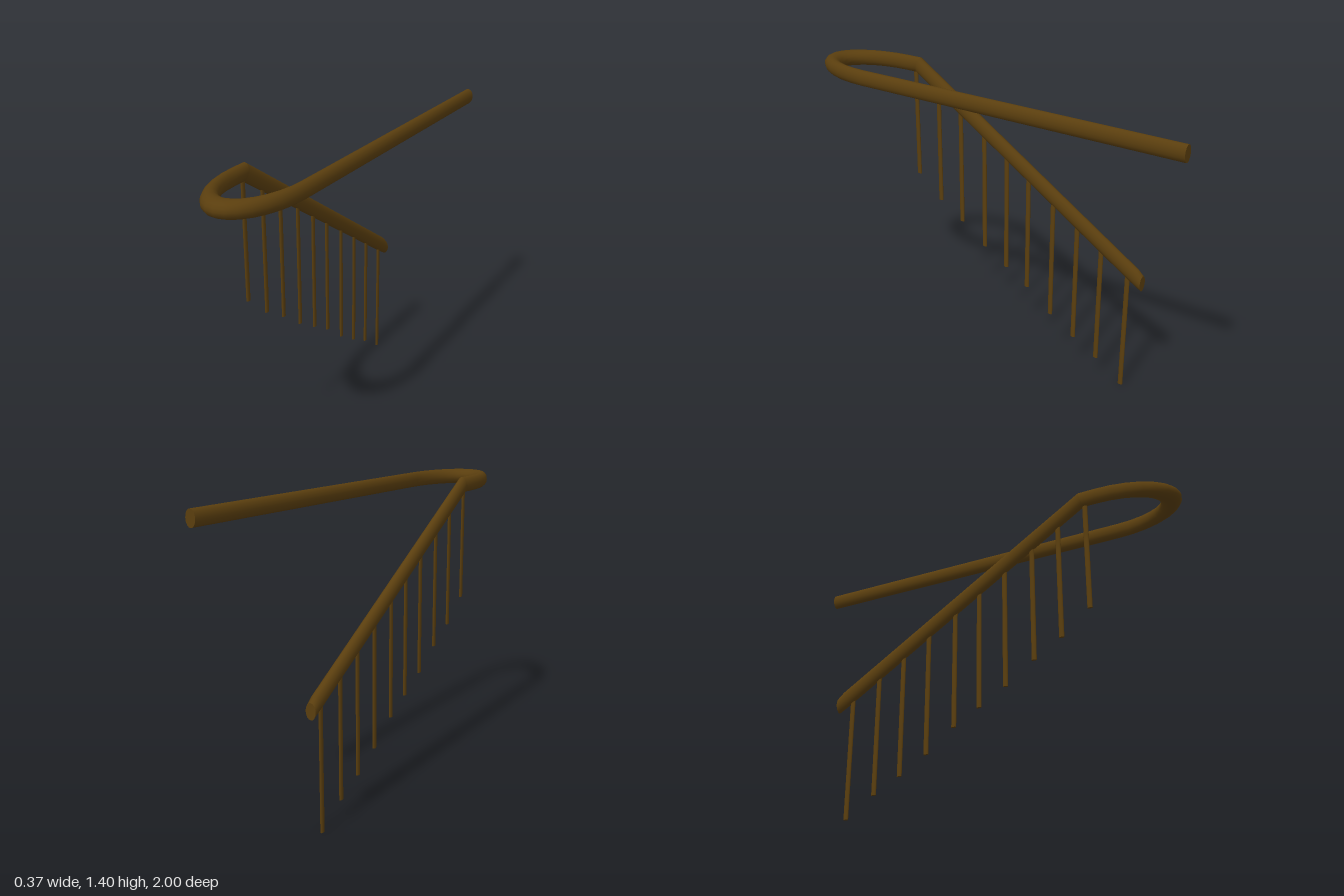
import * as THREE from 'three';

const SIDES = 16;
const RAIL_Y = 1.3675, HALF_X = 0.161, BEND_Z = 0.64, BEND_LEN = 0.31;
const R = { x: 0.0255, y: 0.0375, z: 0.05 };
const SLOPE = Math.atan(0.626);
const CORNER_Z = 0.57, END_Z = -0.7;
const V = (x, y, z) => new THREE.Vector3(x, y, z);

// One cross-section: centre, outward half-axis and upward half-axis
const ring = (center, side, up) => ({ center, side, up });
const point = (r) => ring(r.center, V(0, 0, 0), V(0, 0, 0));

// Skin a run of cross-sections
function skin(rings) {
  const pos = [], index = [];
  rings.forEach(({ center, side, up }, i) => {
    for (let j = 0; j < SIDES; j++) {
      const a = (j / SIDES) * Math.PI * 2;
      const p = center.clone().addScaledVector(side, Math.cos(a)).addScaledVector(up, Math.sin(a));
      pos.push(p.x, p.y, p.z);
      if (i === rings.length - 1) continue;
      const k = (j + 1) % SIDES, A = i * SIDES + j, B = i * SIDES + k;
      index.push(A, B, A + SIDES, B, B + SIDES, A + SIDES);
    }
  });
  const g = new THREE.BufferGeometry();
  g.setAttribute('position', new THREE.Float32BufferAttribute(pos, 3));
  g.setIndex(index);
  g.computeVertexNormals();
  return g;
}

export function createModel() {
  const model = new THREE.Group();
  model.name = 'stairRailing';
  const wood = new THREE.MeshStandardMaterial({ color: 0x5a3e0e });
  wood.name = 'dark brown wood';

  const add = (name, geometry, parent = model) => {
    const mesh = new THREE.Mesh(geometry, wood);
    mesh.name = name;
    parent.add(mesh);
    return mesh;
  };

  // Level rail: long straight run, U-bend, short return to the corner
  const up = V(0, R.y, 0);
  const level = [ring(V(HALF_X, RAIL_Y, -1), V(R.x, 0, 0), up)];
  const steps = 14;
  for (let i = 0; i <= steps; i++) {
    const a = (i / steps) * Math.PI, c = Math.cos(a), s = Math.sin(a);
    level.push(ring(V(HALF_X * c, RAIL_Y, BEND_Z + BEND_LEN * s), V(R.x * c, 0, R.z * s), up));
  }
  const out = V(-R.x, 0, 0);
  const corner = ring(V(-HALF_X, RAIL_Y, CORNER_Z), out, V(0, R.y, -R.y * Math.tan(SLOPE / 2)));
  level.push(corner);
  add('levelRail', skin(level));
  add('levelRailEnd', skin([point(level[0]), level[0]]));

  // Sloping rail, ending in an upright cut
  const railY = (z) => RAIL_Y - Math.max(0, CORNER_Z - z) * Math.tan(SLOPE);
  const nearEnd = END_Z + 0.045;
  const last = ring(V(-HALF_X, railY(END_Z) - 0.003, END_Z), out, up);
  add('slopingRail', skin([
    corner,
    ring(V(-HALF_X, railY(nearEnd), nearEnd), out, V(0, R.y * Math.cos(SLOPE), -R.y * Math.sin(SLOPE))),
    last,
  ]));
  add('slopingRailEnd', skin([last, point(last)]));

  // Balusters: [z, foot height]
  const balusters = new THREE.Group();
  balusters.name = 'balusters';
  model.add(balusters);
  [[0.586, 0.8], [0.449, 0.686], [0.316, 0.604], [0.176, 0.504], [0.045, 0.427],
    [-0.08, 0.355], [-0.219, 0.248], [-0.353, 0.166], [-0.484, 0.096], [-0.626, 0]].forEach(([z, foot]) => {
    const top = railY(z) - 0.005;
    const post = add('baluster', new THREE.CylinderGeometry(1, 1, top - foot, 12), balusters);
    post.scale.set(0.0065, 1, 0.0125);
    post.position.set(-0.157, (top + foot) / 2, z);
  });

  return model;
}
